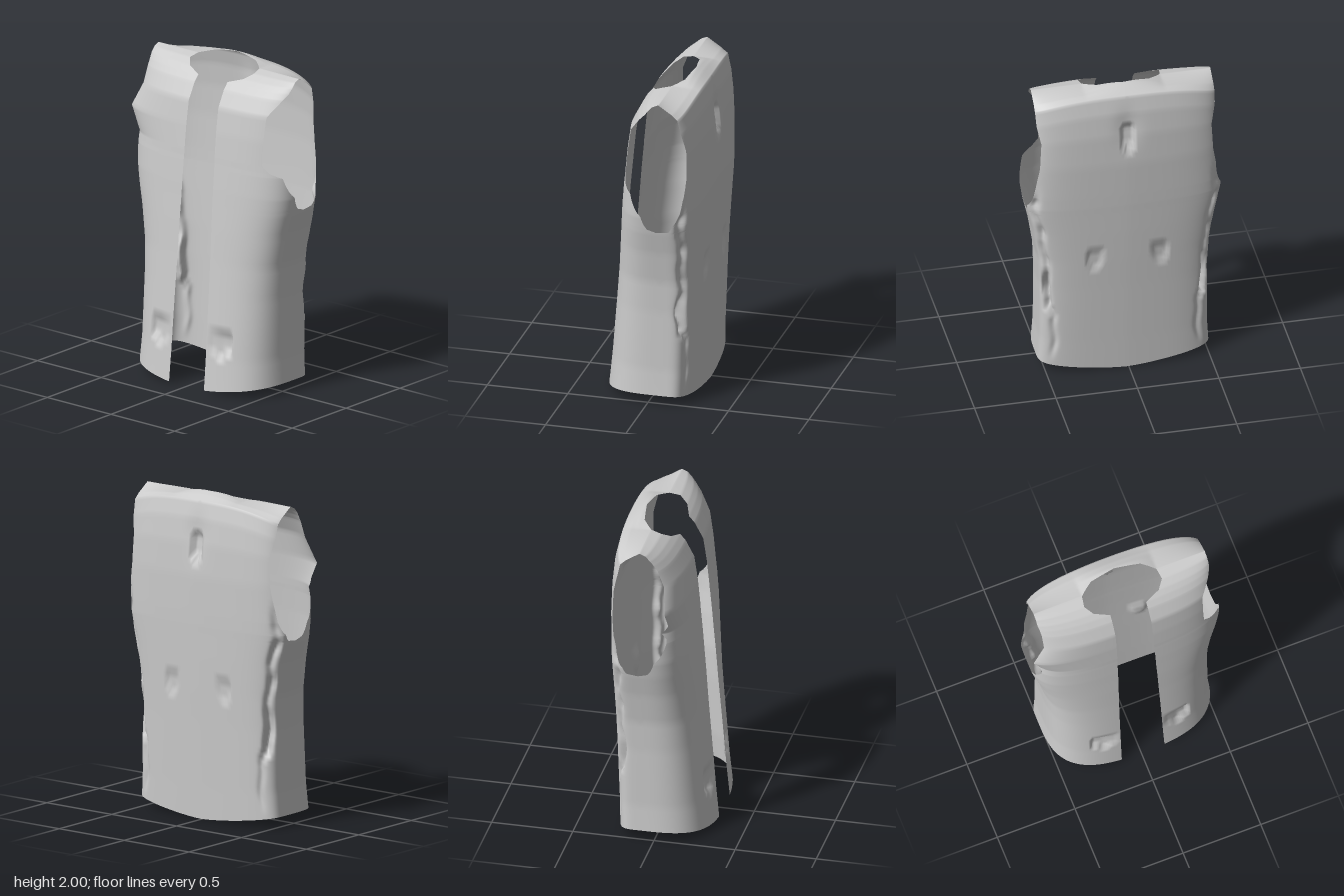
import * as THREE from 'three';
import { mergeGeometries, mergeVertices } from 'three/addons/utils/BufferGeometryUtils.js';

const SIDE_Z = -0.08;   // depth of the side seams and the shoulder ridge
const OFFSET_X = 0.012; // the cut is slightly off centre
const COLS = 54, STEPS = 6, POW = 2.2;

// Profile rows, hem to shoulder: [y, centre depth, half width, inner edge x, armhole edge as share of width]
const FRONT_LEFT = [
  [0, 0.315, 0.525, 0.137, 1], [0.2, 0.296, 0.515, 0.135, 1], [0.4, 0.28, 0.515, 0.133, 1],
  [0.6, 0.263, 0.515, 0.131, 1], [0.8, 0.246, 0.524, 0.128, 1], [1, 0.231, 0.556, 0.125, 1],
  [1.15, 0.218, 0.59, 0.122, 1], [1.25, 0.21, 0.606, 0.121, 0.99], [1.38, 0.198, 0.61, 0.12, 0.93],
  [1.41, 0.195, 0.606, 0.119, 0.82], [1.45, 0.192, 0.6, 0.118, 0.76], [1.6, 0.177, 0.597, 0.117, 0.76],
  [1.75, 0.155, 0.59, 0.116, 0.78], [1.85, 0.102, 0.582, 0.115, 0.9], [1.89, 0.068, 0.58, 0.115, 0.94],
  [1.92, 0.035, 0.58, 0.21, 0.95], [1.95, -0.015, 0.58, 0.25, 0.95], [1.965, SIDE_Z, 0.58, 0.24, 0.95],
];
const BACK = [
  [0, -0.257, 0.525, 0, 1], [0.2, -0.264, 0.515, 0, 1], [0.4, -0.272, 0.515, 0, 1], [0.6, -0.28, 0.515, 0, 1],
  [0.8, -0.289, 0.524, 0, 1], [1, -0.297, 0.556, 0, 1], [1.15, -0.302, 0.59, 0, 1],
  [1.2, -0.304, 0.598, 0, 0.994], [1.28, -0.306, 0.6, 0, 0.95], [1.5, -0.31, 0.59, 0, 0.9],
  [1.7, -0.304, 0.58, 0, 0.9], [1.85, -0.288, 0.58, 0, 0.94], [1.955, -0.262, 0.58, 0, 0.95],
  [1.965, -0.21, 0.58, 0, 0.95], [1.965, -0.165, 0.58, 0, 0.95], [1.965, -0.142, 0.58, 0.16, 0.95],
  [1.965, -0.11, 0.58, 0.205, 0.95], [1.965, SIDE_Z, 0.58, 0.24, 0.95],
];
// The right armhole has a ragged front edge
const RAGGED = { 1.38: 0.93, 1.41: 0.93, 1.45: 0.96, 1.6: 0.908, 1.75: 0.92, 1.85: 0.93 };
const FRONT_RIGHT = FRONT_LEFT.flatMap((row) => {
  const out = [...row];
  if (RAGGED[row[0]]) out[4] = RAGGED[row[0]];
  return row[0] === 1.6 ? [[1.5, 0.187, 0.6, 0.118, 0.9], out] : [out];
});

const bell = (d, width) => Math.exp(-((d / width) ** 2));
const { clamp, smoothstep } = THREE.MathUtils;

// Pointed five-sided dent: 1 inside, falling to 0 at its rim
function dent(x, y, cx, cy, hw, hh) {
  const dx = Math.abs(x - cx) / hw, dy = (y - cy) / hh;
  const d = Math.max(dx, dy, -dy * 0.75 + dx * 0.5);
  return smoothstep(1.1 - d, 0, 0.25);
}

// Share of the centre depth kept at share r of the half width
const frontShape = (r) => (1 - r ** 3.2) ** (1 / 3.2);
const backShape = (r) => (1 - r ** 5) ** 0.2 * (1 - 0.13 * r ** 1.5);

// One sheet of cloth, from hem to shoulder ridge, for side = 1 (left) or -1 (right)
function sheet(rows, side, isBack) {
  const shape = isBack ? backShape : frontShape;
  const pos = [], index = [];
  const total = (rows.length - 1) * STEPS;
  for (let j = 0; j <= total; j++) {
    const k = Math.min(Math.floor(j / STEPS), rows.length - 2), f = j / STEPS - k;
    const [y0, depth, w0, inner, edge] = rows[k].map((a, i) => a + (rows[k + 1][i] - a) * f);
    // the ragged edge flares out
    const w = w0 * (!isBack && side < 0 ? 1 + 0.14 * Math.max(0, 1 - Math.abs(y0 - 1.6) / 0.15) : 1);
    const toS = (r) => 1 - Math.max(0, 1 - r) ** (1 / POW);
    const sIn = toS(inner / w), sOut = toS(edge);
    for (let i = 0; i <= COLS; i++) {
      // columns crowd towards the side, where the cloth curves most
      const s = clamp(sIn + (sOut - sIn) * i / COLS, 0, 1);
      const r = clamp(1 - (1 - s) ** POW, 0, 1);
      let x = w * r, y = y0;
      let z = SIDE_Z + (depth - SIDE_Z) * shape(r);
      // hem rises towards the sides
      y += 0.065 * r ** 1.5 * Math.max(0, 1 - y0) ** 4;
      if (isBack) {
        // raised back of the neck, and shoulder blades sloping down to the armholes
        if (y0 > 1.9) y += 0.035 * Math.max(0, 1 - (x / 0.24) ** 2) * clamp((depth + 0.26) / 0.09, 0, 1);
        y -= 0.09 * r ** 3 * clamp((SIDE_Z - depth) / 0.18, 0, 1) * smoothstep(y0, 1.5, 1.95);
        // crumpled seam between back and side, moving inwards below the waist
        const upper = smoothstep(y0, 0.4, 0.47);
        const span = clamp((y0 - 0.05) * 8, 0, 1) * clamp((1.4 - y0) * 5, 0, 1) * clamp((1 - r) * 50, 0, 1);
        const rough = 0.5 + 0.3 * Math.sin(y0 * 31 + side) + 0.2 * Math.sin(y0 * 57);
        const fold = bell(r - 0.86 - 0.08 * upper - 0.012 * Math.sin(y0 * 23), 0.035) * span;
        const pinch = fold * (0.012 + 0.02 * rough * upper + 0.035 * bell(y0 - 0.57, 0.12));
        z += pinch;
        x -= pinch * 0.6;
        // dents under the neck and at the waist
        z += 0.03 * dent(x, y, 0, 1.68, 0.04, 0.075) + 0.015 * dent(x, y, 0.2, 0.82, 0.045, 0.06);
        z += 0.015 * bell(x, 0.07) * bell(y - 1.75, 0.12);
      } else {
        // pocket dents, deepest at their outer end
        z -= 0.028 * dent(x, y, 0.23, 0.31, 0.08, 0.065) * clamp((x - 0.12) / 0.12, 0, 1);
      }
      pos.push(side * x + OFFSET_X, y, z);
    }
  }
  const flip = isBack === (side > 0);
  for (let j = 0; j < total; j++) {
    for (let i = 0; i < COLS; i++) {
      const a = j * (COLS + 1) + i, b = a + 1, c = a + COLS + 1, d = c + 1;
      if (flip) index.push(a, c, b, b, c, d);
      else index.push(a, b, c, b, d, c);
    }
  }
  const g = new THREE.BufferGeometry();
  g.setAttribute('position', new THREE.Float32BufferAttribute(pos, 3));
  g.setIndex(index);
  return g;
}

export function createModel() {
  const group = new THREE.Group();
  group.name = 'vest';
  // two front panels and two back halves, welded along the seams
  const cloth = mergeVertices(mergeGeometries([
    sheet(FRONT_LEFT, 1, false), sheet(FRONT_RIGHT, -1, false),
    sheet(BACK, 1, true), sheet(BACK, -1, true),
  ]), 1e-4);
  cloth.computeVertexNormals();
  const material = new THREE.MeshStandardMaterial({ color: 0xcccccc, side: THREE.DoubleSide });
  const mesh = new THREE.Mesh(cloth, material);
  mesh.name = 'vestBody';
  group.add(mesh);
  return group;
}
